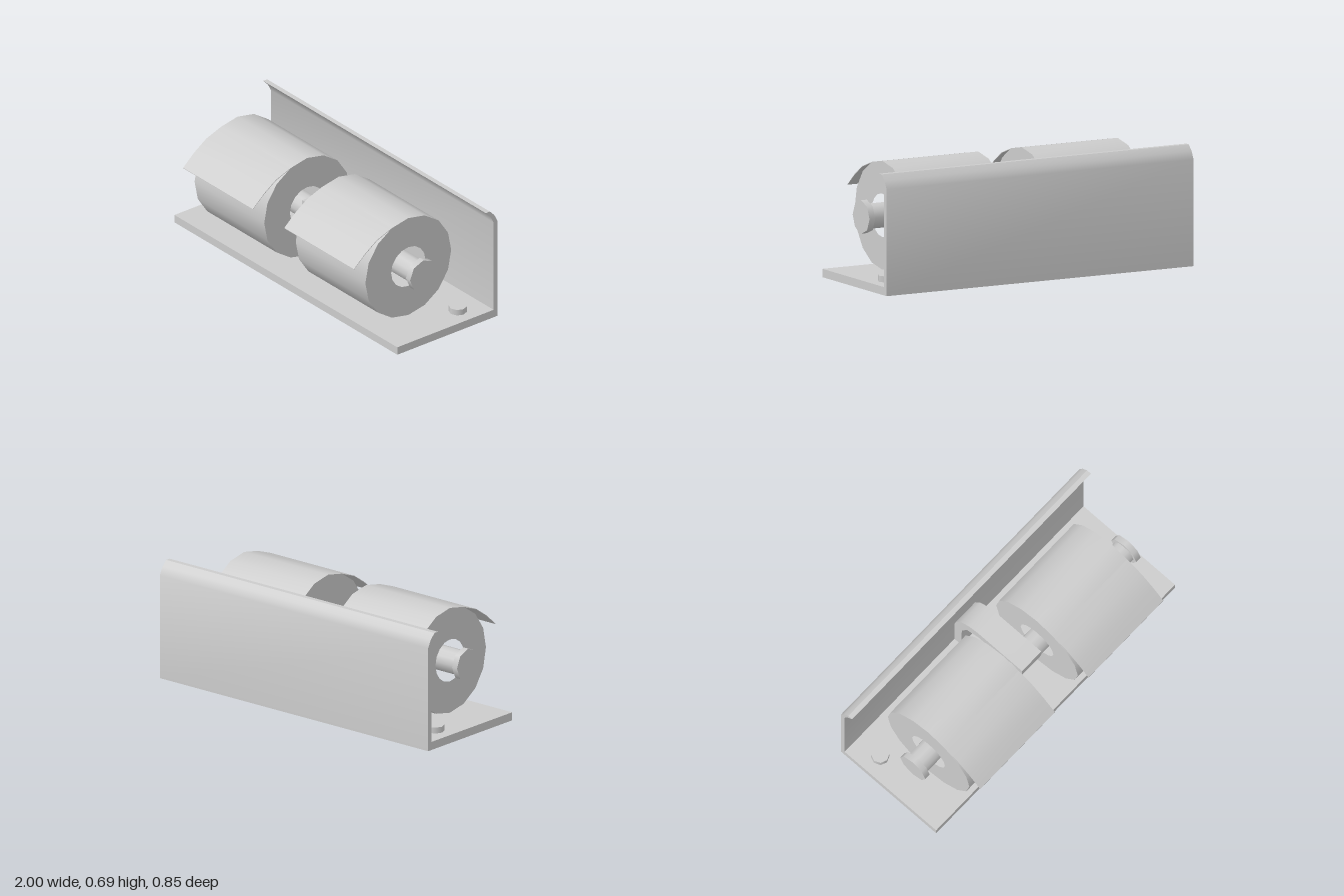
import * as THREE from 'three';
import { toCreasedNormals } from 'three/addons/utils/BufferGeometryUtils.js';

const AXIS_Y = 0.375, AXIS_Z = 0.033;

export function createModel() {
  const group = new THREE.Group();
  const grey = new THREE.MeshStandardMaterial({ color: 0xcccccc });
  grey.name = 'plain grey';

  function add(name, geometry) {
    const mesh = new THREE.Mesh(geometry, grey);
    mesh.name = name;
    group.add(mesh);
    return mesh;
  }

  const toPoints = list => list.map(([z, y]) => new THREE.Vector2(z, y));
  const ring = (radius, sides) => Array.from({ length: sides }, (_, i) => {
    const a = (i / sides) * Math.PI * 2;
    return [AXIS_Z + radius * Math.sin(a), AXIS_Y + radius * Math.cos(a)];
  });

  // Sweeps a (z, y) side profile along x
  function sweep(profile, x0, x1, hole) {
    const shape = new THREE.Shape(toPoints(profile));
    if (hole) shape.holes.push(new THREE.Path(toPoints(hole)));
    const g = new THREE.ExtrudeGeometry(shape, { depth: x1 - x0, bevelEnabled: false });
    g.rotateY(-Math.PI / 2).translate(x1, 0, 0);
    return toCreasedNormals(g, 0.68);
  }

  // Cylinder along x on the roll axis
  function axle(radius, x0, x1, sides) {
    return new THREE.CylinderGeometry(radius, radius, x1 - x0, sides)
      .rotateZ(Math.PI / 2)
      .translate((x0 + x1) / 2, AXIS_Y + 0.002, AXIS_Z + 0.002);
  }

  // Base and back plate with a curled top lip
  add('bracket', sweep([
    [0.303, 0], [0.303, 0.048], [-0.397, 0.048], [-0.397, 0.61], [-0.375, 0.655],
    [-0.34, 0.69], [-0.37, 0.69], [-0.402, 0.657], [-0.425, 0.612], [-0.425, 0],
  ], -1, 1));

  // Curved arm that holds the rod between the rolls
  add('supportArm', sweep([
    [-0.397, 0.048], [-0.397, 0.3], [-0.385, 0.35], [-0.345, 0.417], [-0.285, 0.458],
    [-0.22, 0.472], [0.12, 0.472], [0.12, 0.41], [-0.21, 0.41], [-0.265, 0.387],
    [-0.3, 0.37], [-0.337, 0.3], [-0.345, 0.22], [-0.345, 0.048],
  ], -0.08, 0.08));

  add('rod', axle(0.073, -0.87, 0.87, 12));

  // Rolls, loose sheets, rod ends and bolts on both sides
  for (const [side, s] of [['right', -1], ['left', 1]]) {
    const x0 = s > 0 ? 0.14 : -0.768, x1 = s > 0 ? 0.765 : -0.143;
    add(side + 'Roll', sweep(ring(0.312, 16), x0, x1, ring(0.125, 16)));
    add(side + 'LooseSheet', sweep([
      [0.15, 0.664], [0.26, 0.624], [0.347, 0.565], [0.428, 0.494],
      [0.428, 0.491], [0.347, 0.561], [0.26, 0.62], [0.15, 0.661],
    ], x0, x1));
    add(side + 'RodEnd', axle(0.096, s > 0 ? 0.865 : -0.902, s > 0 ? 0.902 : -0.865, 8));
    add(side + 'Bolt', new THREE.CylinderGeometry(0.052, 0.052, 0.04, 8))
      .position.set(s * 0.885, 0.063, -0.23);
  }
  return group;
}
